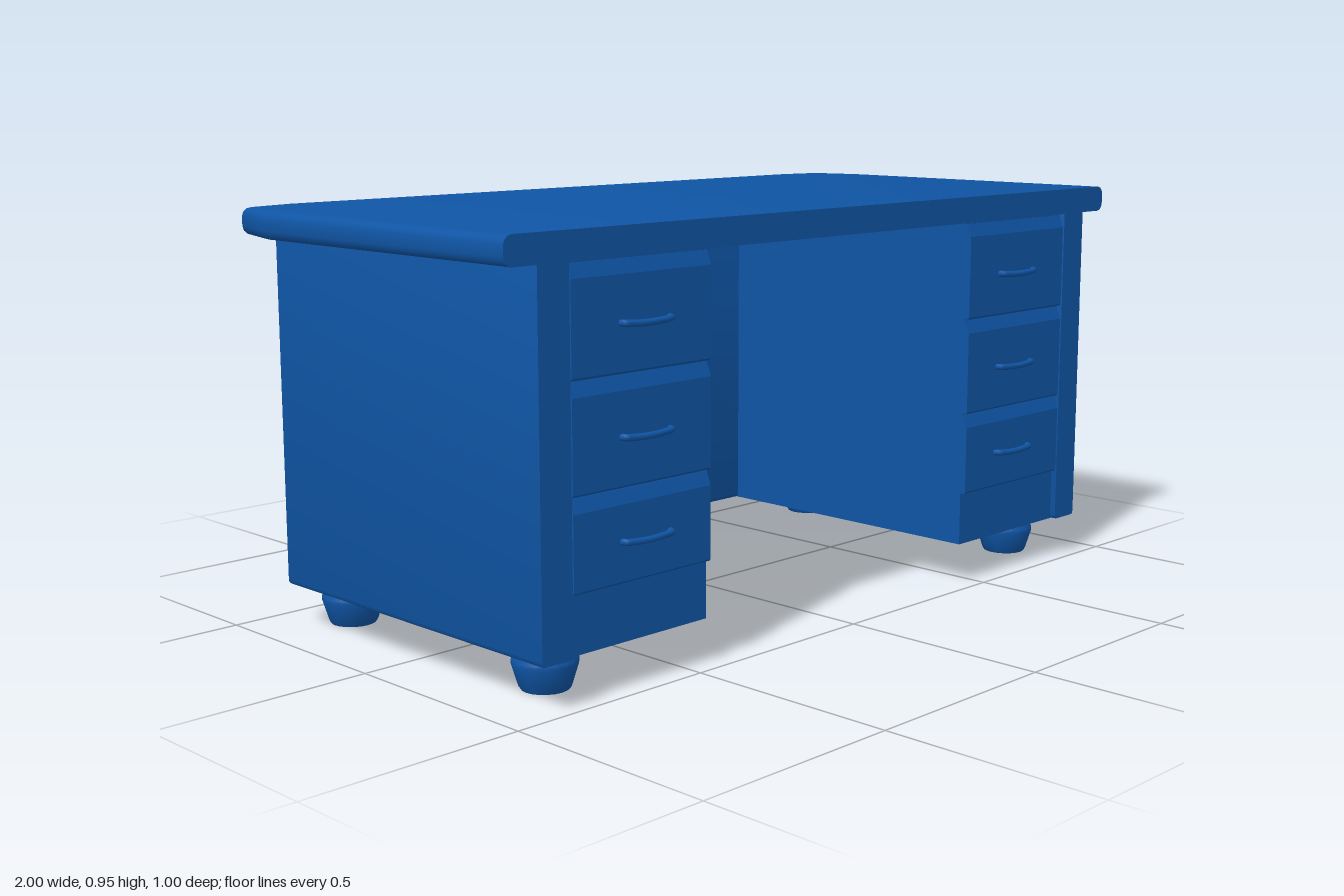
import * as THREE from 'three';
import { toCreasedNormals } from 'three/addons/utils/BufferGeometryUtils.js';

const FRONT = 0.48;
const CENTRE = -0.003;
const blue = new THREE.MeshStandardMaterial({ color: 0x0f55a5 });

function add(parent, name, geometry, x = 0, y = 0, z = 0) {
  const mesh = new THREE.Mesh(geometry, blue);
  mesh.name = name;
  mesh.position.set(x, y, z);
  parent.add(mesh);
  return mesh;
}

// Extrudes an (x, z) outline between two heights with rounded edges, cut flat at the front
function slab(outline, y0, y1, bevel) {
  const shape = new THREE.Shape(outline.map(([x, z]) => new THREE.Vector2(x, z)));
  const geometry = new THREE.ExtrudeGeometry(shape, {
    depth: y1 - y0 - 2 * bevel, bevelSize: bevel, bevelThickness: bevel, bevelSegments: 3,
  });
  geometry.rotateX(Math.PI / 2).translate(0, y1 - bevel, 0);
  const p = geometry.attributes.position;
  for (let i = 0; i < p.count; i++) p.setZ(i, Math.min(p.getZ(i), FRONT));
  return toCreasedNormals(geometry, 0.6);
}

// Mirrors a half outline across x = 0
const mirrored = (half) => [...half, ...half.map(([x, z]) => [-x, z]).reverse()];

// Drawer front: flat face with a sloping top edge
function drawerGeometry(width, height) {
  const profile = new THREE.Shape([
    [0, 0], [0.021, 0], [0.024, 0.004], [0.024, height - 0.034], [0.012, height - 0.004], [0, height - 0.004],
  ].map(([z, y]) => new THREE.Vector2(z, y)));
  const geometry = new THREE.ExtrudeGeometry(profile, { depth: width, bevelEnabled: false });
  return geometry.rotateY(-Math.PI / 2).translate(width / 2, 0, 0);
}

// Bowed pull handle
function handleGeometry() {
  const path = new THREE.CatmullRomCurve3([
    [-0.067, 0.002, -0.004], [-0.065, 0.002, 0.007], [-0.04, 0, 0.011], [0, -0.001, 0.013],
    [0.04, 0, 0.011], [0.065, 0.002, 0.007], [0.067, 0.002, -0.004],
  ].map((p) => new THREE.Vector3(...p)));
  return new THREE.TubeGeometry(path, 28, 0.0075, 8);
}

export function createModel() {
  const desk = new THREE.Group();
  desk.name = 'desk';

  // Top with clipped back corners
  add(desk, 'deskTop', slab(mirrored([
    [0.98, 0.48], [0.98, -0.33], [0.943, -0.455], [0.828, -0.48],
  ]), 0.893, 0.955, 0.02));

  // Side panels and back in one U-shaped casing
  const b = 0.01;
  add(desk, 'casing', slab(mirrored([
    [0.835 + b, -0.285 - b], [0.835 + b, FRONT - 0.003], [0.916 - b, FRONT - 0.003],
    [0.916 - b, -0.408 + b], [0.906 - b, -0.42 + b],
  ]), 0.1, 0.91, b), CENTRE);

  // Pedestals with three drawers each
  for (const side of [-1, 1]) {
    const pedestal = new THREE.Group();
    pedestal.name = side > 0 ? 'leftPedestal' : 'rightPedestal';
    pedestal.position.x = CENTRE + side * 0.638;
    desk.add(pedestal);
    add(pedestal, 'carcass', new THREE.BoxGeometry(0.4, 0.8, 0.765), side * 0.007, 0.501, 0.0825);
    for (const [y0, y1, handleY] of [[0.23, 0.428, 0.315], [0.428, 0.66, 0.53], [0.66, 0.893, 0.76]]) {
      add(pedestal, 'drawerFront', drawerGeometry(0.386, y1 - y0), 0, y0, FRONT - 0.025);
      add(pedestal, 'handle', handleGeometry(), -side * 0.006, handleY, FRONT);
    }
  }

  // Turned feet
  const footProfile = [[0, 0], [0.052, 0], [0.056, 0.006], [0.071, 0.055], [0.071, 0.063], [0.055, 0.1], [0, 0.105]];
  const foot = toCreasedNormals(new THREE.LatheGeometry(
    footProfile.map(([r, y]) => new THREE.Vector2(r, y)), 20), 0.45);
  for (const [x, z] of [[-0.79, 0.337], [0.81, 0.337], [-0.79, -0.337], [0.785, -0.337]]) {
    add(desk, 'foot', foot, x, 0, z);
  }
  return desk;
}
